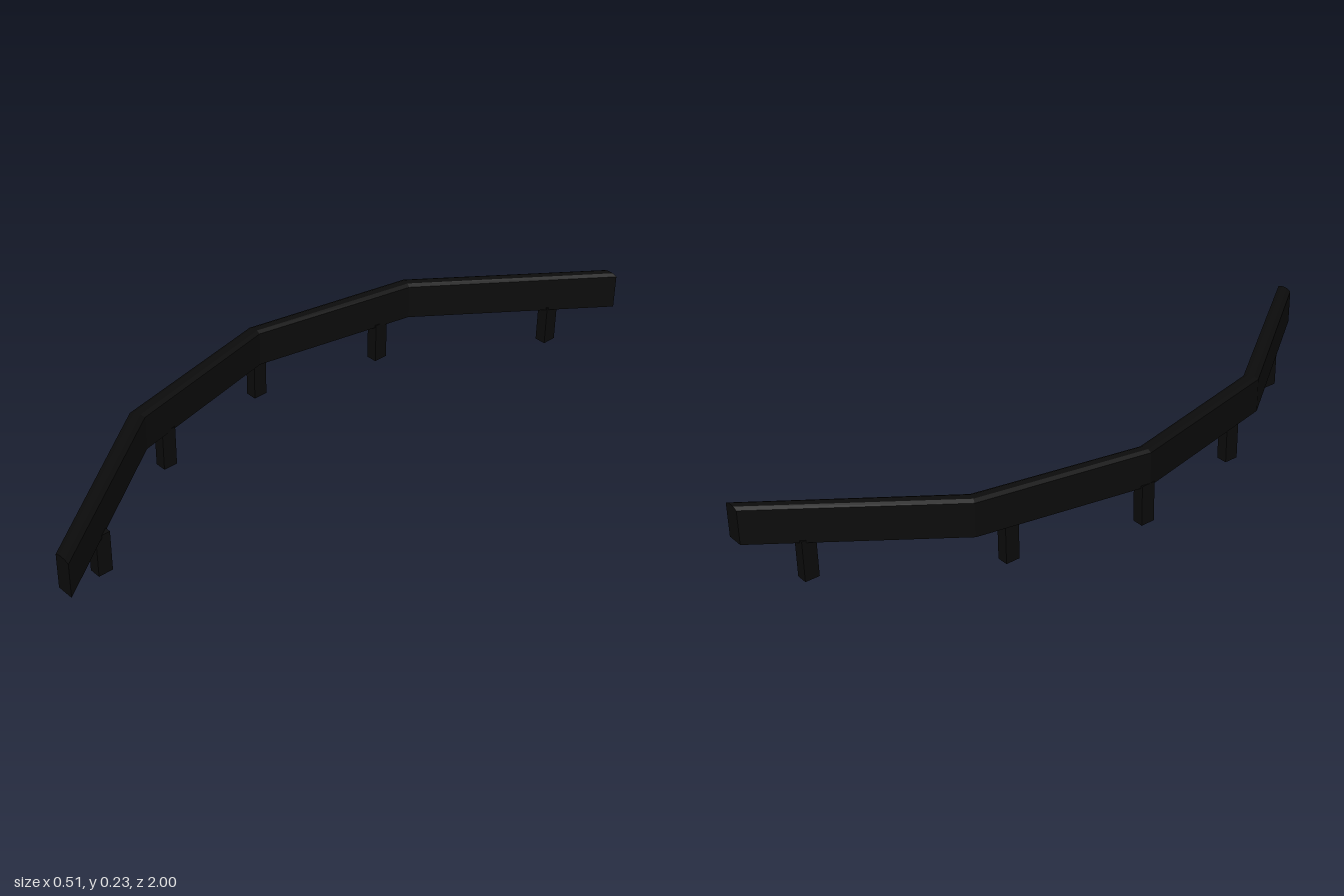
import * as THREE from 'three';

// Rail stations from back to front: centre x, z and the half-width vector of the mitre cut
const stations = [
  { x: 0.231, z: -1, dx: 0.026, dz: 0 },
  { x: -0.134, z: -0.505, dx: 0.0215, dz: 0.009 },
  { x: -0.235, z: 0, dx: 0.022, dz: 0 },
  { x: -0.125, z: 0.503, dx: 0.0215, dz: -0.009 },
  { x: 0.231, z: 1, dx: 0.026, dz: 0 },
];

// Rail section: side position (-1..1) and height, with chamfered top edges
const section = [[-1, 0.117], [-1, 0.221], [-0.45, 0.227], [0.45, 0.227], [1, 0.221], [1, 0.117]];

function railGeometry() {
  const positions = [], index = [], n = section.length;
  for (const s of stations) {
    for (const [u, y] of section) positions.push(s.x + u * s.dx, y, s.z + u * s.dz);
  }
  for (let i = 0; i < stations.length - 1; i++) {
    for (let j = 0; j < n; j++) {
      const a = i * n + j, b = i * n + (j + 1) % n;
      index.push(a, a + n, b, b, a + n, b + n);
    }
  }
  // End caps
  const last = (stations.length - 1) * n;
  for (let j = 1; j < n - 1; j++) {
    index.push(0, j, j + 1);
    index.push(last, last + j + 1, last + j);
  }
  const indexed = new THREE.BufferGeometry();
  indexed.setAttribute('position', new THREE.Float32BufferAttribute(positions, 3));
  indexed.setIndex(index);
  const geometry = indexed.toNonIndexed();
  geometry.computeVertexNormals();
  return geometry;
}

export function createModel() {
  const group = new THREE.Group();
  group.name = 'curvedBarrier';
  const black = new THREE.MeshStandardMaterial({ color: 0x0b0b0b });
  black.name = 'black';

  const rail = new THREE.Mesh(railGeometry(), black);
  rail.name = 'rail';
  group.add(rail);

  // Square posts reaching slightly into the rail
  const postGeometry = new THREE.BoxGeometry(0.035, 0.125, 0.044);
  const posts = [[0.122, -0.856], [-0.149, -0.404], [-0.2395, -0.007], [-0.143, 0.402], [0.104, 0.806]];
  posts.forEach(([x, z], i) => {
    const post = new THREE.Mesh(postGeometry, black);
    post.name = `post${i + 1}`;
    post.position.set(x, 0.0625, z);
    group.add(post);
  });
  return group;
}
